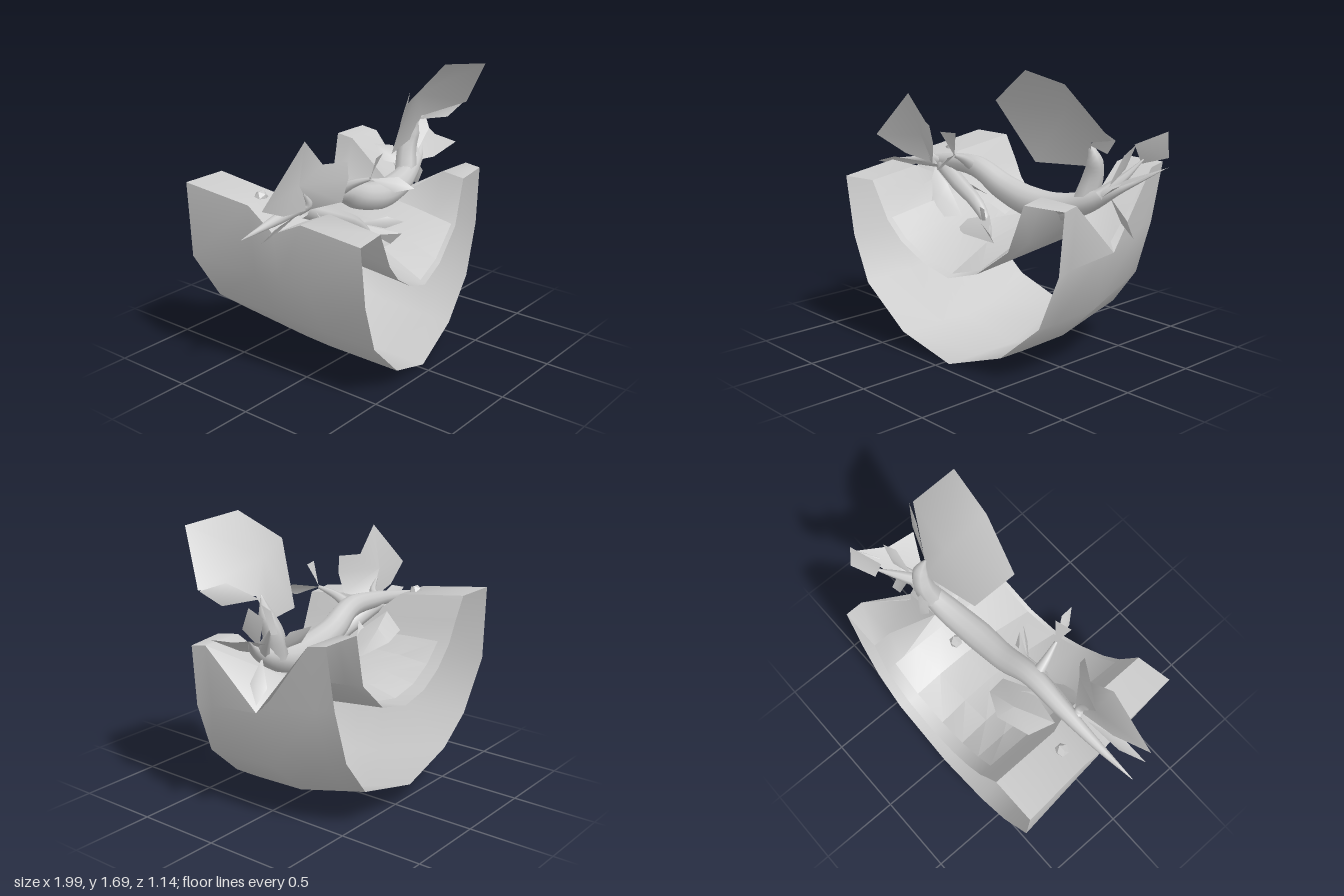
import * as THREE from 'three';
import { toCreasedNormals } from 'three/addons/utils/BufferGeometryUtils.js';

const grey = new THREE.MeshStandardMaterial({ color: 0xcccccc, side: THREE.DoubleSide });
const V = (p) => new THREE.Vector3(...p);
const lerp = THREE.MathUtils.lerp;

// rows of points joined into a quad skin
function skin(rows, closed, crease) {
  const pos = [];
  const n = rows.length;
  for (let i = 0; i < (closed ? n : n - 1); i++) {
    const a = rows[i], b = rows[(i + 1) % n];
    for (let j = 0; j < a.length - 1; j++)
      pos.push(...a[j], ...b[j], ...b[j + 1], ...a[j], ...b[j + 1], ...a[j + 1]);
  }
  const g = new THREE.BufferGeometry();
  g.setAttribute('position', new THREE.Float32BufferAttribute(pos, 3));
  return toCreasedNormals(g, crease);
}

// log cross-sections: outer skin left to right, then the trough right to left
const front = [[-0.72, 1], [-0.67, 0.65], [-0.57, 0.37], [-0.3, 0.12], [0.04, 0], [0.4, 0.12], [0.65, 0.34],
  [0.77, 0.65], [0.8, 1], [0.55, 1], [0.45, 0.73], [0.24, 0.57], [0.04, 0.51], [-0.14, 0.57],
  [-0.3, 0.67], [-0.4, 0.78], [-0.46, 0.9], [-0.51, 1]];
const back = [[-0.82, 1.14], [-0.8, 0.7], [-0.61, 0.4], [-0.4, 0.24], [-0.04, 0.13], [0.39, 0.24], [0.56, 0.46],
  [0.66, 0.78], [0.73, 1.14], [0.48, 1.14], [0.42, 0.85], [0.24, 0.68], [0.02, 0.63], [-0.16, 0.67],
  [-0.3, 0.76], [-0.41, 0.88], [-0.47, 1], [-0.55, 1.14]];
const frontZ = (x) => 0.44 - 0.18 * x;

function logGeometry() {
  // lowest height of the branch notch at each rim point
  const notch = { 0: 0.96, 8: 0.7, 9: 0.83, 17: 0.96 };
  const rows = front.map(([fx, fy], i) => {
    const [bx, by] = back[i];
    const side = THREE.MathUtils.smoothstep(fx, -0.5, 0.5);
    const z0 = frontZ(fx);
    const zs = [z0, 0.2, lerp(0.02, -0.13, side), lerp(-0.14, -0.46, side), -0.57];
    return zs.map((z, k) => {
      const even = (z0 - z) / (z0 + 0.57);
      const late = Math.max(0, (-0.08 - z) / 0.49);
      const w = i > 2 && i < 7 ? late : even;
      let y = lerp(fy, by, w);
      if (k === 2 && notch[i] !== undefined) y = notch[i];
      return [lerp(fx, bx, w), y, z];
    });
  });
  return skin(rows, true, 0.85);
}

// soft bed swelling out of the trough floor
function bedGeometry() {
  const rows = [];
  for (let i = 10; i <= 15; i++) {
    const swell = [0.02, 0.1, 0.14, 0.11, 0.07, 0.03][i - 10];
    rows.push([0.03, 0.3, 0.55, 0.75, 0.93].map((w) => [
      lerp(front[i][0], back[i][0], w),
      lerp(front[i][1], back[i][1], w) + swell * Math.sin(Math.PI * w) + 0.004,
      lerp(frontZ(front[i][0]), -0.57, w),
    ]));
  }
  return skin(rows, false, 0.3);
}

// tapered limb along [x, y, z, radius] knots
function limb(knots, sides = 10, steps = 24) {
  const curve = new THREE.CatmullRomCurve3(knots.map((k) => V(k)));
  const frames = curve.computeFrenetFrames(steps, false);
  const rows = [];
  for (let i = 0; i <= steps; i++) {
    const t = i / steps, f = t * (knots.length - 1);
    const k = Math.min(Math.floor(f), knots.length - 2);
    const r = lerp(knots[k][3], knots[k + 1][3], f - k);
    const c = curve.getPoint(t), row = [];
    for (let j = 0; j <= sides; j++) {
      const a = (j / sides) * Math.PI * 2;
      row.push(c.clone().addScaledVector(frames.normals[i], r * Math.cos(a))
        .addScaledVector(frames.binormals[i], r * Math.sin(a)).toArray());
    }
    rows.push(row);
  }
  return skin(rows, false, 1.2);
}

// folded leaf: a fan about its centre
function leaf(centre, ring) {
  const pos = [];
  ring.forEach((p, i) => pos.push(...centre, ...p, ...ring[(i + 1) % ring.length]));
  const g = new THREE.BufferGeometry();
  g.setAttribute('position', new THREE.Float32BufferAttribute(pos, 3));
  return toCreasedNormals(g, 0.9);
}

// small kite leaf from base to tip
function kite(base, tip, width, lean) {
  const a = V(base), b = V(tip);
  const mid = a.clone().lerp(b, 0.6);
  const out = V(lean).normalize().multiplyScalar(width);
  const bend = b.clone().sub(a).cross(out).normalize().multiplyScalar(width * 0.3);
  return leaf(mid.clone().add(bend).toArray(),
    [base, mid.clone().add(out).toArray(), tip, mid.clone().sub(out).toArray()]);
}

export function createModel() {
  const model = new THREE.Group();
  const add = (name, geometry) => {
    const m = new THREE.Mesh(geometry, grey);
    m.name = name;
    model.add(m);
    return m;
  };

  add('hollowLog', logGeometry());
  add('troughBed', bedGeometry());

  // main branch lying across the notch
  add('branch', limb([[-1, 0.995, 0.02, 0.002], [-0.72, 1.02, 0, 0.03], [-0.45, 1.05, -0.01, 0.05],
    [-0.2, 1.05, -0.01, 0.065], [0, 0.96, -0.03, 0.078], [0.22, 0.905, -0.04, 0.088], [0.45, 0.91, -0.07, 0.08],
    [0.62, 0.97, -0.1, 0.06], [0.78, 1.05, -0.14, 0.025], [0.97, 1.17, -0.28, 0.002]], 12, 40));

  // side twigs
  const twigs = [
    [[-0.22, 1.05, 0, 0.04], [-0.2, 1.11, 0.1, 0.025], [-0.17, 1.15, 0.2, 0.01]],
    [[-0.5, 1.02, 0, 0.05], [-0.3, 0.93, 0.04, 0.05], [-0.12, 0.84, 0.06, 0.04], [-0.01, 0.72, 0.08, 0.02], [0, 0.57, 0.1, 0.003]],
    [[0.57, 0.96, -0.1, 0.07], [0.61, 1.1, -0.12, 0.06], [0.64, 1.2, -0.1, 0.045], [0.63, 1.3, -0.06, 0.004]],
    [[0.68, 1, -0.1, 0.045], [0.76, 1.1, -0.2, 0.025], [0.82, 1.2, -0.29, 0.004]],
    [[-0.55, 1.03, 0, 0.035], [-0.53, 1.07, 0.06, 0.025], [-0.58, 1.15, 0.07, 0.004]],
  ];
  twigs.forEach((t) => add('twig', limb(t, 7, 12)));

  // broad leaves at the two ends of the branch
  add('tallLeaf', leaf([0.53, 1.47, 0.01], [[0.17, 1.5, 0.19], [0.46, 1.69, 0.25], [0.8, 1.65, 0.31],
    [0.93, 1.36, 0.1], [0.66, 1.3, -0.05], [0.61, 1.16, -0.09], [0.29, 1.15, 0]]));
  add('sideLeaf', leaf([-0.62, 1.2, 0.08], [[-0.98, 1.17, 0.15], [-0.65, 1.46, 0.15], [-0.5, 1.3, 0.14],
    [-0.38, 1.3, 0.21], [-0.36, 1.2, 0.2], [-0.39, 1.07, 0.18], [-0.5, 1.03, 0.05], [-0.76, 1.07, 0.09]]));
  add('endLeaf', leaf([0.83, 1.09, -0.12], [[0.68, 1, -0.1], [0.74, 1.08, -0.2], [0.99, 1.18, -0.3],
    [0.91, 1.12, -0.12], [0.9, 1.1, 0.05], [0.76, 1.02, -0.02]]));
  add('backLeaf', leaf([0.86, 1.25, -0.31], [[0.79, 1.17, -0.31], [0.78, 1.28, -0.26],
    [0.94, 1.36, -0.34], [0.92, 1.21, -0.38]]));

  // leaf hanging in the trough behind the branch, and three in front
  add('troughLeaf', leaf([-0.25, 0.94, -0.18], [[-0.48, 0.98, -0.08], [-0.42, 0.9, -0.22], [-0.22, 0.88, -0.28],
    [-0.06, 0.82, -0.2], [-0.04, 0.78, -0.08], [-0.22, 0.88, -0.02]]));
  add('hangingLeaf', leaf([-0.03, 0.76, 0.12], [[-0.2, 0.69, 0.17], [-0.17, 0.76, 0.1], [-0.02, 0.8, 0.06],
    [0.13, 0.74, 0.2], [0.1, 0.67, 0.14]]));
  add('droopingLeaf', leaf([-0.38, 0.87, 0.13], [[-0.49, 1.02, 0.08], [-0.4, 0.93, 0.06], [-0.22, 0.77, 0.1],
    [-0.36, 0.75, 0.22], [-0.46, 0.86, 0.17]]));
  add('twigLeaf', leaf([-0.17, 1.23, 0.23], [[-0.17, 1.15, 0.2], [-0.21, 1.29, 0.27],
    [-0.11, 1.29, 0.24], [-0.15, 1.2, 0.21]]));

  // small leaves: base, tip, half width, lean of the width
  const kites = [
    [[-0.17, 1.15, 0.2], [-0.06, 1.11, 0.42], 0.045, [0.7, 1, -0.2]],
    [[-0.6, 1.03, 0.05], [-0.98, 1.0, 0.14], 0.04, [0, 0.7, 0.5]],
    [[0.64, 1.28, -0.06], [0.94, 1.36, 0.08], 0.06, [0.3, -1, 0]],
    [[0.72, 1.05, -0.12], [0.86, 1.3, -0.18], 0.06, [0.6, -0.4, 0.6]],
    [[0.72, 1, -0.14], [0.84, 0.78, -0.2], 0.05, [0.8, 0.4, 0.5]],
    [[0.6, 0.98, -0.1], [0.46, 1.13, -0.26], 0.06, [0.7, 0.6, 0]],
    [[-0.3, 0.95, 0], [-0.2, 0.8, -0.16], 0.06, [1, 0.2, 0.3]],
    [[-0.1, 0.84, 0.07], [0.12, 0.82, 0.22], 0.035, [0.3, 1, 0]],
  ];
  kites.forEach((k) => add('smallLeaf', kite(...k)));

  // little knobs
  [[-0.64, 1.09, -0.18], [0.3, 0.84, -0.15]].forEach((p) => {
    const g = toCreasedNormals(new THREE.IcosahedronGeometry(0.04, 0), 0.2);
    add('knob', g).position.set(...p);
  });

  return model;
}
